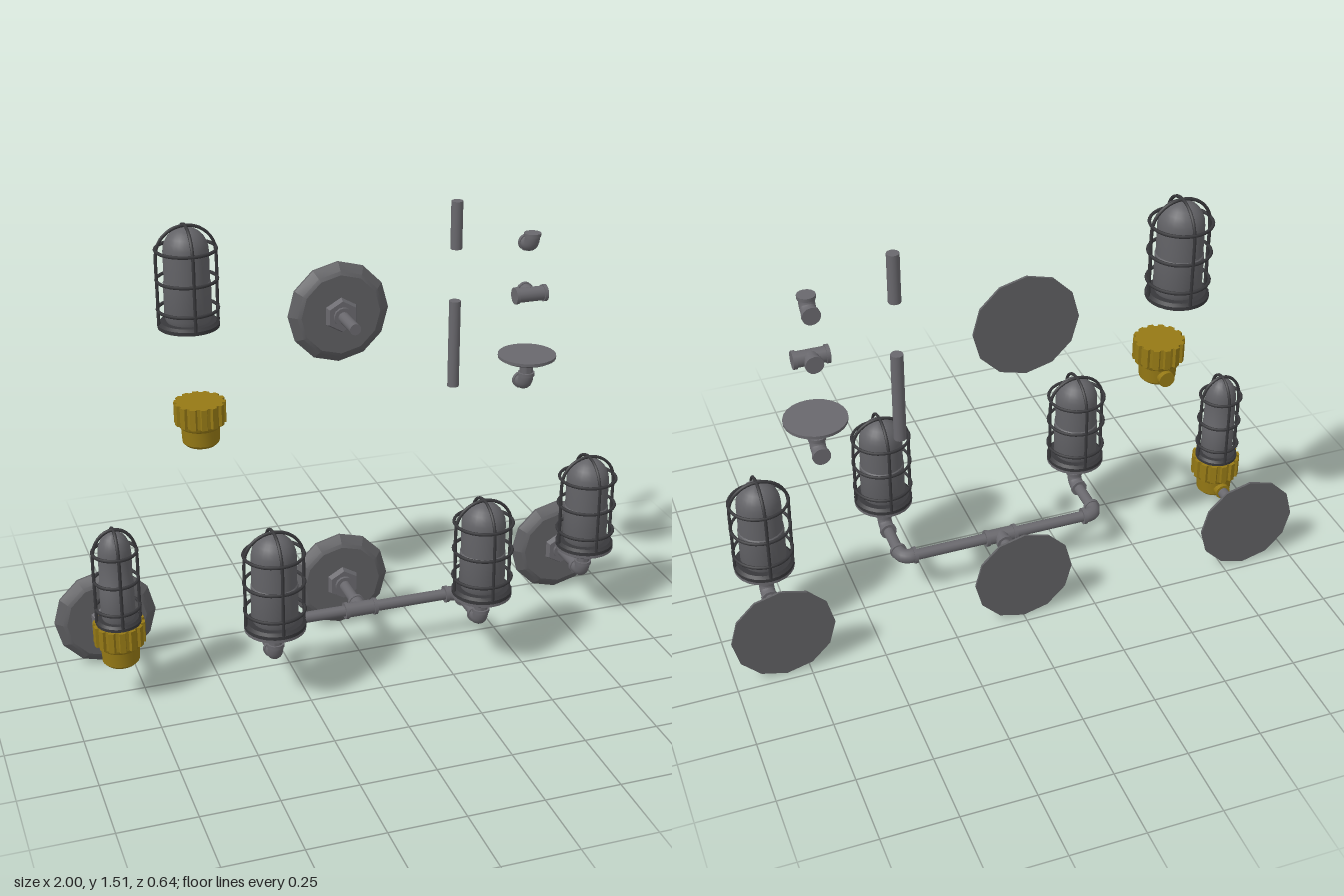
import * as THREE from 'three';
import { toCreasedNormals } from 'three/addons/utils/BufferGeometryUtils.js';

const V = (x, y, z) => new THREE.Vector3(x, y, z);
const UP = V(0, 1, 0), DOWN = V(0, -1, 0), BACK = V(0, 0, -1), FRONT = V(0, 0, 1), RIGHT = V(-1, 0, 0), LEFT = V(1, 0, 0);

export function createModel() {
  const make = (name, color) => {
    const m = new THREE.MeshStandardMaterial({ color });
    m.name = name;
    return m;
  };
  const metal = make('grey metal', 0x69686d);
  const plateGrey = make('plate grey', 0x5f5f62);
  const glassGrey = make('glass grey', 0x626266);
  const wire = make('dark wire', 0x38383b);
  const brass = make('brass', 0x957915);

  const mesh = (name, geo, mat, parent) => {
    const m = new THREE.Mesh(geo, mat);
    m.name = name;
    parent.add(m);
    return m;
  };
  const group = (name, parent, x = 0, y = 0, z = 0) => {
    const g = new THREE.Group();
    g.name = name;
    g.position.set(x, y, z);
    parent.add(g);
    return g;
  };
  const lathe = (pts, sides, crease = 0.6) =>
    toCreasedNormals(new THREE.LatheGeometry(pts.map(p => new THREE.Vector2(...p)), sides), crease);

  // Straight round bar between two points
  const pipe = (name, a, b, r, parent, mat = metal) => {
    const d = b.clone().sub(a);
    const m = mesh(name, new THREE.CylinderGeometry(r, r, d.length(), 14), mat, parent);
    m.position.copy(a).add(b).multiplyScalar(0.5);
    m.quaternion.setFromUnitVectors(UP, d.normalize());
    return m;
  };
  const collar = (dir, dist, parent) =>
    pipe('collar', dir.clone().multiplyScalar(dist - 0.012), dir.clone().multiplyScalar(dist), 0.029, parent);

  // Quarter bend with a collar on each opening
  const elbow = (parent, pos, a, b) => {
    const g = group('elbow', parent, ...pos);
    const at = (s, t) => a.clone().multiplyScalar(s).addScaledVector(b, t);
    const path = new THREE.CatmullRomCurve3([at(0.045, 0), at(0.03, 0), at(0.009, 0.009), at(0, 0.03), at(0, 0.045)]);
    mesh('bend', new THREE.TubeGeometry(path, 12, 0.025, 14), metal, g);
    collar(a, 0.046, g);
    collar(b, 0.052, g);
    return g;
  };

  // Three-way joint: both sides and the back
  const tee = (parent, pos) => {
    const g = group('tee', parent, ...pos);
    pipe('run', V(-0.05, 0, 0), V(0.05, 0, 0), 0.025, g);
    pipe('branch', V(0, 0, 0), V(0, 0, -0.045), 0.025, g);
    collar(LEFT, 0.057, g);
    collar(RIGHT, 0.057, g);
    collar(BACK, 0.05, g);
  };

  // Wall plate with hex nut and outgoing pipe
  const wallPlate = (x, y, pipeEnd) => {
    const g = group('wallPlate', root, x, y, -0.22);
    const disc = mesh('disc', lathe([[0, 0], [0.172, 0], [0.172, 0.008], [0.147, 0.031], [0.135, 0.037], [0, 0.037]], 12, 0.3), plateGrey, g);
    disc.rotation.x = Math.PI / 2;
    const nut = mesh('nut', new THREE.CylinderGeometry(0.052, 0.06, 0.02, 6).toNonIndexed(), metal, g);
    nut.geometry.computeVertexNormals();
    nut.rotation.x = Math.PI / 2;
    nut.position.z = 0.046;
    pipe('nutCollar', V(0, 0, 0.05), V(0, 0, 0.066), 0.032, g);
    pipe('wallPipe', V(0, 0, 0.04), V(0, 0, pipeEnd + 0.22), 0.019, g);
  };

  // Glass globe on a base plate inside a wire cage; s narrows it
  const cagedLamp = (x, y, z, s = 1) => {
    const g = group('cagedLamp', root, x, y, z);
    const glass = [[0, 0.018], [0.07, 0.018], [0.076, 0.035], [0.076, 0.148], [0.073, 0.152], [0.073, 0.25]];
    for (let i = 1; i <= 7; i++) {
      const t = (i / 7) * Math.PI / 2;
      glass.push([i === 7 ? 0 : 0.073 * Math.cos(t), 0.25 + 0.077 * Math.sin(t)]);
    }
    mesh('globe', lathe(glass.map(p => [p[0] * s, p[1]]), 24), glassGrey, g);
    const base = [[0, 0], [0.1, 0], [0.1, 0.012], [0.09, 0.02], [0, 0.02]];
    mesh('lampBase', lathe(base.map(p => [p[0] * s, p[1]]), 24), wire, g);
    const R = 0.097 * s;
    const pts = [V(-R, 0.01, 0), V(-R, 0.12, 0)];
    for (let i = 0; i <= 10; i++) {
      const t = Math.PI * (1 - i / 10);
      pts.push(V(R * Math.cos(t), 0.24 + 0.093 * Math.sin(t), 0));
    }
    pts.push(V(R, 0.12, 0), V(R, 0.01, 0));
    const hoop = new THREE.TubeGeometry(new THREE.CatmullRomCurve3(pts), 48, 0.0055, 6);
    for (const turn of [0, Math.PI / 2]) mesh('cageHoop', hoop, wire, g).rotation.y = turn;
    for (const h of [0.06, 0.158, 0.257]) {
      const ring = mesh('cageRing', new THREE.TorusGeometry(R, 0.0055, 6, 32), wire, g);
      ring.rotation.x = Math.PI / 2;
      ring.position.y = h;
    }
  };

  // Round tray on an elbow that carries a lamp; origin at the elbow corner
  const lampHolder = (x, y, z) => {
    const g = group('lampHolder', root, x, y, z);
    elbow(g, [0, 0, 0], UP, BACK);
    mesh('tray', lathe([[0, 0.035], [0.022, 0.035], [0.024, 0.075], [0.045, 0.085], [0.049, 0.093],
      [0.088, 0.095], [0.1, 0.102], [0.1, 0.112], [0, 0.112]], 24), metal, g);
  };

  // Brass socket: ribbed collar over a smooth cup with a pipe boss behind
  const brassSocket = (x, y, z) => {
    const g = group('brassSocket', root, x, y, z);
    mesh('cup', lathe([[0, 0], [0.05, 0], [0.06, 0.01], [0.063, 0.06], [0.07, 0.066], [0.074, 0.08], [0, 0.08]], 24), brass, g);
    const gear = new THREE.Shape();
    const teeth = 14;
    for (let i = 0; i < teeth; i++) {
      [[0, 0.075], [0.12, 0.084], [0.6, 0.084], [0.72, 0.075]].forEach(([f, r], k) => {
        const t = ((i + f) / teeth) * Math.PI * 2;
        gear[i + k ? 'lineTo' : 'moveTo'](r * Math.cos(t), r * Math.sin(t));
      });
    }
    const ribbed = mesh('ribbedCollar', new THREE.ExtrudeGeometry(gear, { depth: 0.07, bevelEnabled: false }), brass, g);
    ribbed.rotation.x = -Math.PI / 2;
    ribbed.position.y = 0.077;
    pipe('boss', V(0, 0.032, 0), V(0, 0.032, -0.077), 0.027, g, brass);
  };

  const root = new THREE.Group();
  root.name = 'pipeLampSet';
  const Y = 0.18;

  // Narrow single lamp with brass socket
  wallPlate(-0.83, Y, 0.0);
  brassSocket(-0.83, 0.15, 0.042);
  cagedLamp(-0.83, 0.295, 0.042, 0.73);

  // Wide single lamp
  wallPlate(0.828, Y, -0.03);
  lampHolder(0.828, Y, 0.012);
  cagedLamp(0.828, 0.292, 0.012);

  // Double lamp on a cross bar
  wallPlate(0, Y, 0);
  tee(root, [0, Y, 0.012]);
  pipe('crossBar', V(-0.33, Y, 0.012), V(0.33, Y, 0.012), 0.019, root);
  for (const s of [-1, 1]) {
    elbow(root, [s * 0.357, Y, 0.012], FRONT, s > 0 ? RIGHT : LEFT);
    pipe('armPipe', V(s * 0.357, Y, 0.04), V(s * 0.357, Y, 0.18), 0.019, root);
    lampHolder(s * 0.357, Y, 0.215);
    cagedLamp(s * 0.357, 0.292, 0.215);
  }

  // Loose spare parts
  cagedLamp(-0.5, 1.178, -0.22);
  brassSocket(-0.498, 0.81, -0.12);
  wallPlate(0, 1.17, -0.035);
  pipe('longPipe', V(0.413, 0.853, -0.22), V(0.413, 1.16, -0.22), 0.02, root);
  pipe('shortPipe', V(0.413, 1.342, -0.22), V(0.413, 1.505, -0.22), 0.02, root);
  elbow(root, [0.662, 1.342, -0.165], UP, BACK);
  tee(root, [0.662, 1.173, -0.165]);
  lampHolder(0.662, 0.845, -0.17);

  return root;
}
